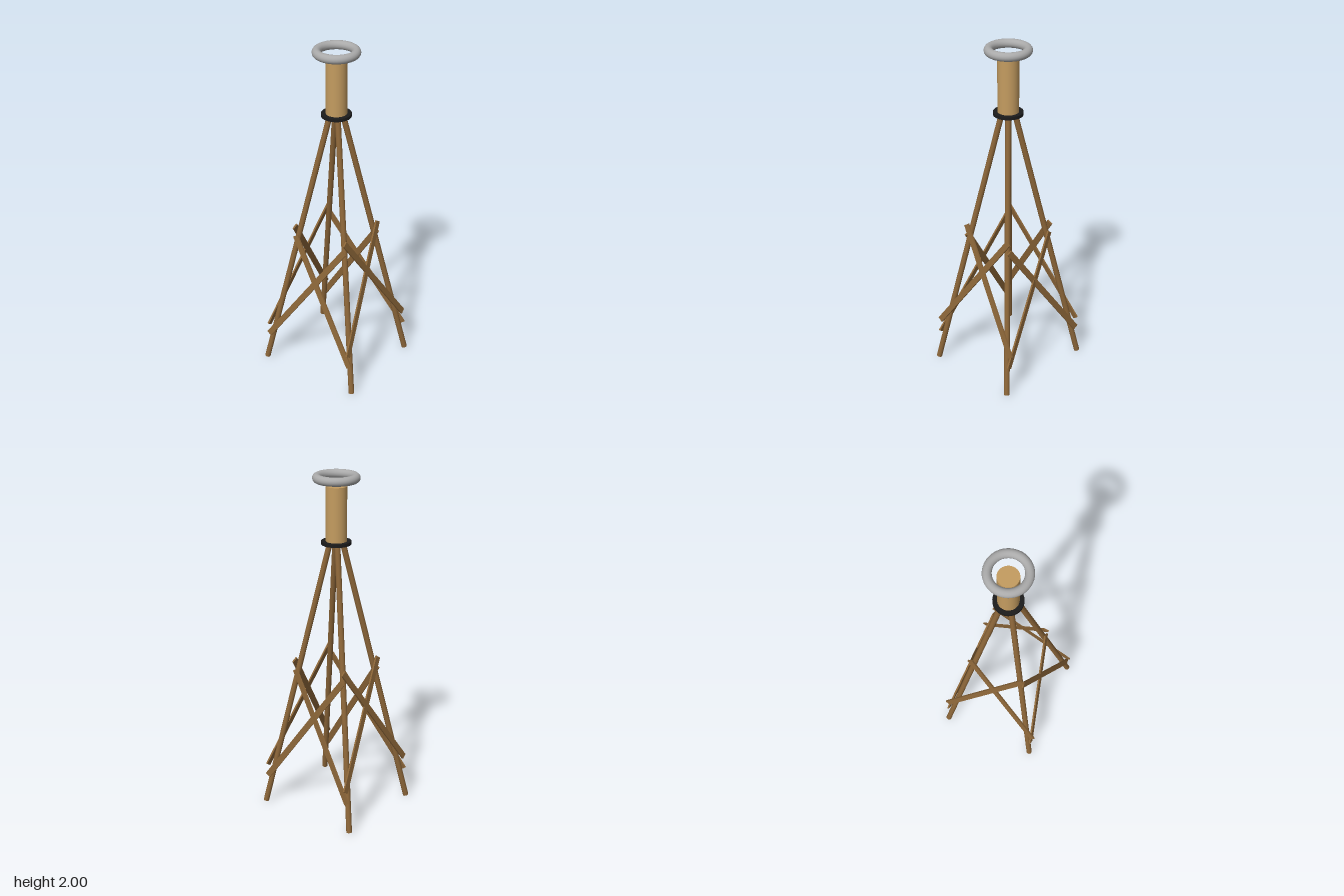
import * as THREE from 'three';

const paint = (color) => new THREE.MeshStandardMaterial({ color });
const v = (x, y, z) => new THREE.Vector3(x, y, z);

export function createModel() {
  const model = new THREE.Group();
  const wood = paint(0x8b6538);

  function add(name, geometry, material, y = 0) {
    const mesh = new THREE.Mesh(geometry, material);
    mesh.name = name;
    mesh.position.y = y;
    model.add(mesh);
    return mesh;
  }

  // round pole between two points
  function pole(name, a, b, r) {
    const mesh = add(name, new THREE.CylinderGeometry(r, r, a.distanceTo(b), 16), wood);
    mesh.position.lerpVectors(a, b, 0.5);
    mesh.quaternion.setFromUnitVectors(v(0, 1, 0), b.clone().sub(a).normalize());
  }

  // flat board between two points, its thin side along the face normal
  function board(name, a, b, normal) {
    const along = b.clone().sub(a).normalize();
    const across = along.clone().cross(normal).normalize();
    const out = across.clone().cross(along);
    const mesh = add(name, new THREE.BoxGeometry(0.035, a.distanceTo(b), 0.01), wood);
    mesh.position.lerpVectors(a, b, 0.5);
    mesh.quaternion.setFromRotationMatrix(new THREE.Matrix4().makeBasis(across, along, out));
  }

  // four splayed legs
  for (const x of [-1, 1]) {
    for (const z of [-1, 1]) {
      const name = `${z > 0 ? 'front' : 'back'}${x > 0 ? 'Left' : 'Right'}Leg`;
      pole(name, v(x * 0.314, 0.005, z * 0.285), v(x * 0.026, 1.61, z * 0.024), 0.0165);
    }
  }

  // crossed boards on each of the four faces
  for (const s of [-1, 1]) {
    for (const d of [-1, 1]) {
      board(s > 0 ? 'frontBrace' : 'backBrace',
        v(-d * 0.295, 0.18, s * 0.284), v(d * 0.17, 0.855, s * 0.168), v(0, 0.17 * s, s));
      board(s > 0 ? 'leftBrace' : 'rightBrace',
        v(s * 0.289, 0.255, -d * 0.29), v(s * 0.176, 0.915, d * 0.165), v(s, 0.17 * s * s, 0));
    }
  }

  // collar, post and floating ring
  add('collar', new THREE.CylinderGeometry(0.085, 0.085, 0.018, 32), paint(0x1c1c1c), 1.61);
  add('post', new THREE.CylinderGeometry(0.06, 0.06, 0.32, 32), paint(0xc49c60), 1.77);
  const ring = new THREE.TorusGeometry(0.108, 0.025, 16, 48).rotateX(Math.PI / 2);
  add('topRing', ring, paint(0xaaaaaa), 1.975);

  return model;
}
